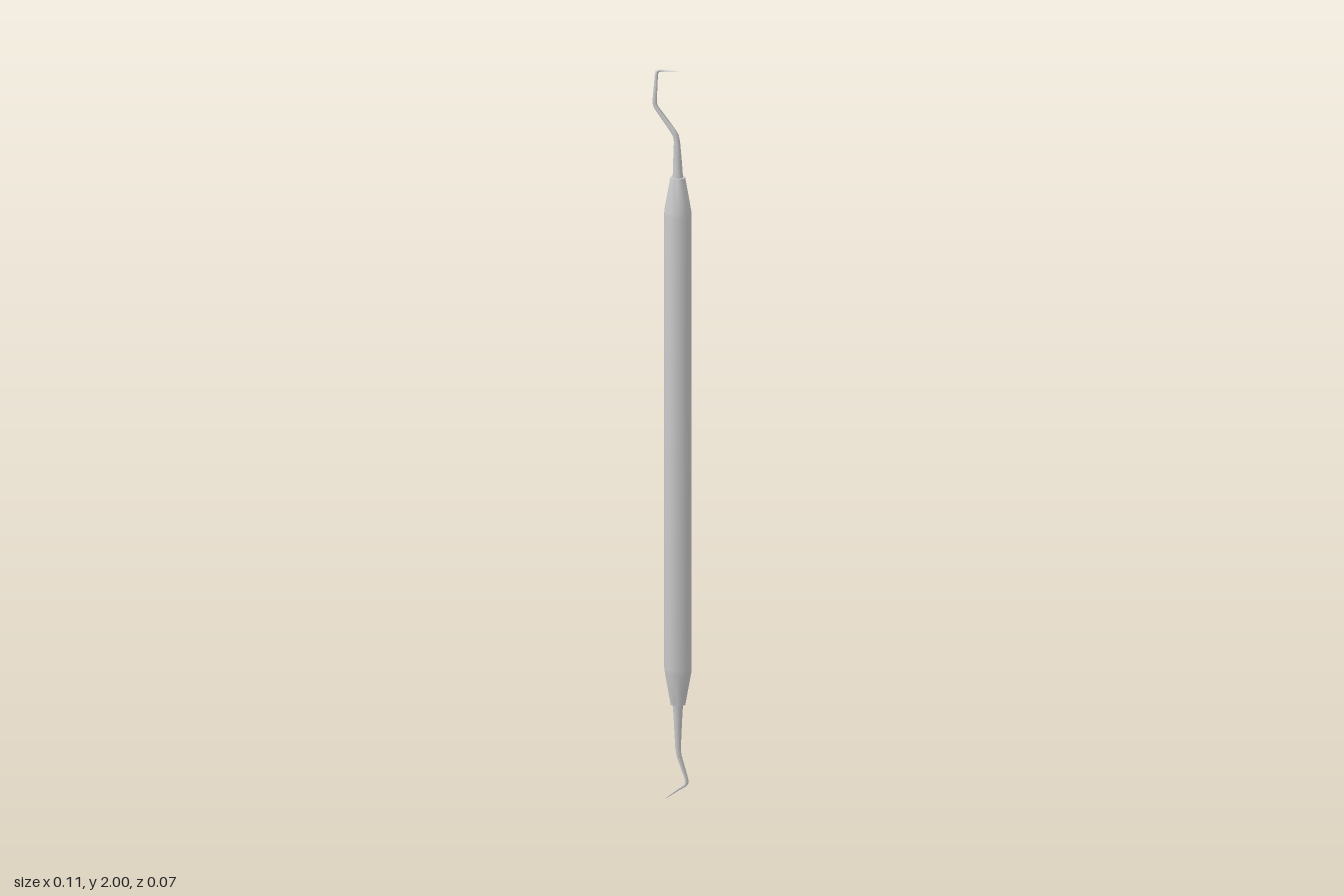
import * as THREE from 'three';
import { toCreasedNormals } from 'three/addons/utils/BufferGeometryUtils.js';

const AXIS = 0.016; // handle axis offset in x
const material = new THREE.MeshStandardMaterial({ color: 0xcccccc });

// Tapered rod swept along a path in the xy plane with mitred bends; points are [x, y, radius]
function taperedRod(path, sides = 10) {
  const pts = path.map(([x, y]) => new THREE.Vector2(x, y));
  const pos = [], index = [];
  pts.forEach((p, i) => {
    const into = pts[Math.max(i, 1)].clone().sub(pts[Math.max(i, 1) - 1]).normalize();
    const k = Math.min(i, pts.length - 2);
    const out = pts[k + 1].clone().sub(pts[k]).normalize();
    const t = into.clone().add(out).normalize();
    const r = path[i][2], mitre = r / Math.max(t.dot(out), 0.6);
    for (let j = 0; j < sides; j++) {
      const a = (j / sides) * Math.PI * 2;
      const u = Math.cos(a) * mitre;
      pos.push(p.x + t.y * u, p.y - t.x * u, -Math.sin(a) * r);
      if (i < pts.length - 1) {
        const a0 = i * sides + j, b0 = i * sides + (j + 1) % sides;
        index.push(a0, b0, a0 + sides, b0, b0 + sides, a0 + sides);
      }
    }
  });
  const g = new THREE.BufferGeometry();
  g.setAttribute('position', new THREE.Float32BufferAttribute(pos, 3));
  g.setIndex(index);
  return toCreasedNormals(g, 0.75);
}

export function createModel() {
  const group = new THREE.Group();
  const add = (name, geometry) => {
    const mesh = new THREE.Mesh(geometry, material);
    mesh.name = name;
    group.add(mesh);
    return mesh;
  };

  // Ten-sided grip with tapered shoulders and flat ends
  const profile = [
    [0, 0.262], [0.02, 0.262], [0.0225, 0.275], [0.0365, 0.352], [0.0375, 0.365],
    [0.0375, 1.605], [0.0365, 1.618], [0.0225, 1.695], [0.02, 1.708], [0, 1.708],
  ].map(([r, y]) => new THREE.Vector2(r, y));
  const grip = new THREE.LatheGeometry(profile, 10, Math.PI / 2);
  add('handle', toCreasedNormals(grip, 0.75)).position.x = AXIS;

  // Upper shank: double bend ending in a right-angled point
  add('upperHook', taperedRod([
    [AXIS, 1.70, 0.0145], [0.015, 1.75, 0.012], [0.0135, 1.805, 0.0085],
    [0.0105, 1.822, 0.008], [0.002, 1.836, 0.0075], [-0.044, 1.897, 0.0062],
    [-0.0475, 1.908, 0.006], [-0.0425, 1.985, 0.0043], [-0.0405, 1.994, 0.004],
    [-0.033, 1.997, 0.003], [0.02, 1.999, 0.0006], [0.0205, 1.999, 0],
  ]));

  // Lower shank: gentle bend ending in a slanted point
  add('lowerHook', taperedRod([
    [AXIS, 0.27, 0.0145], [AXIS, 0.22, 0.0115], [0.0165, 0.14, 0.0075],
    [0.019, 0.122, 0.0068], [0.039, 0.06, 0.005], [0.0405, 0.05, 0.0046],
    [0.036, 0.042, 0.0042], [0.015, 0.027, 0.003], [-0.017, 0.001, 0.0006], [-0.0175, 0.0005, 0],
  ]));

  return group;
}
